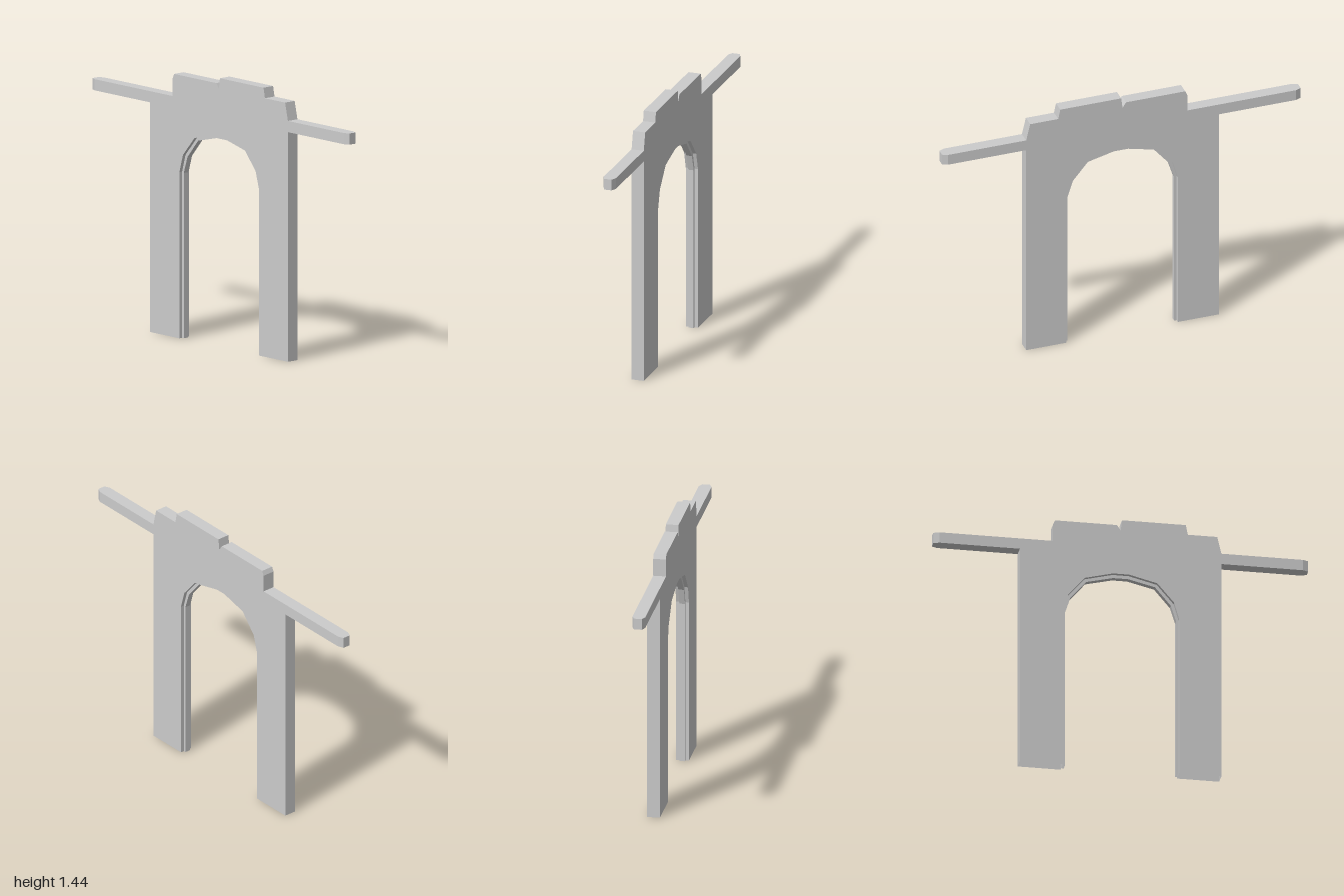
import * as THREE from 'three';

const HALF = 0.034; // half thickness of the wall

const material = new THREE.MeshStandardMaterial({
  color: 0xcccccc, flatShading: true, side: THREE.DoubleSide,
});

// Extrude an outline along z, centred on z = 0
function slab(points, depth) {
  const shape = new THREE.Shape(points.map(([x, y]) => new THREE.Vector2(x, y)));
  const geometry = new THREE.ExtrudeGeometry(shape, { depth, bevelEnabled: false });
  return geometry.translate(0, 0, -depth / 2);
}

// Drop the triangles lying on the ground, leaving the feet hollow
function openBottom(geometry) {
  const g = geometry.index ? geometry.toNonIndexed() : geometry;
  const src = g.attributes.position;
  const kept = [];
  for (let i = 0; i < src.count; i += 3) {
    const onGround = [0, 1, 2].every((k) => Math.abs(src.getY(i + k)) < 1e-5);
    if (onGround) continue;
    for (let k = 0; k < 3; k++) kept.push(src.getX(i + k), src.getY(i + k), src.getZ(i + k));
  }
  const out = new THREE.BufferGeometry();
  out.setAttribute('position', new THREE.Float32BufferAttribute(kept, 3));
  out.computeVertexNormals();
  return out;
}

// Mirror a right half profile (ground to crown) into a full arch, +x to -x
function arch(half) {
  return [...half, ...half.map(([x, y]) => [-x, y]).reverse()];
}

export function createModel() {
  const group = new THREE.Group();
  const add = (name, geometry) => {
    const mesh = new THREE.Mesh(geometry, material);
    mesh.name = name;
    group.add(mesh);
    return mesh;
  };

  const opening = arch([[0.31, 0], [0.31, 0.89], [0.283, 0.985], [0.193, 1.09], [0.043, 1.128]]);
  const ribEdge = arch([[0.297, 0], [0.297, 0.885], [0.268, 0.975], [0.184, 1.075], [0.04, 1.11]]);

  // Wall with the stepped top and the arched doorway
  const top = [
    [-0.54, 1.29], [-0.363, 1.29], [-0.363, 1.385], [-0.352, 1.41], [-0.022, 1.41],
    [-0.002, 1.38], [0.005, 1.44], [0.345, 1.44], [0.356, 1.385], [0.513, 1.385], [0.535, 1.29],
  ];
  const wall = [[-0.54, 0], ...top, [0.535, 0], ...opening];
  add('archWall', openBottom(slab(wall, HALF * 2)));

  // Raised rib around the middle of the doorway
  add('doorwayRib', openBottom(slab([...opening, ...[...ribEdge].reverse()], 0.03)));

  // Side beams with chamfered ends, drawn in plan and raised to height
  for (const side of [1, -1]) {
    const plan = [
      [0.535, -HALF], [0.97, -HALF], [1, -0.021], [1, 0.021], [0.97, HALF], [0.535, HALF],
    ].map(([x, z]) => [x * side, z]);
    const beam = slab(plan, 0.06).rotateX(-Math.PI / 2).translate(0, 1.26, 0);
    add(side > 0 ? 'leftBeam' : 'rightBeam', beam);
  }

  return group;
}
